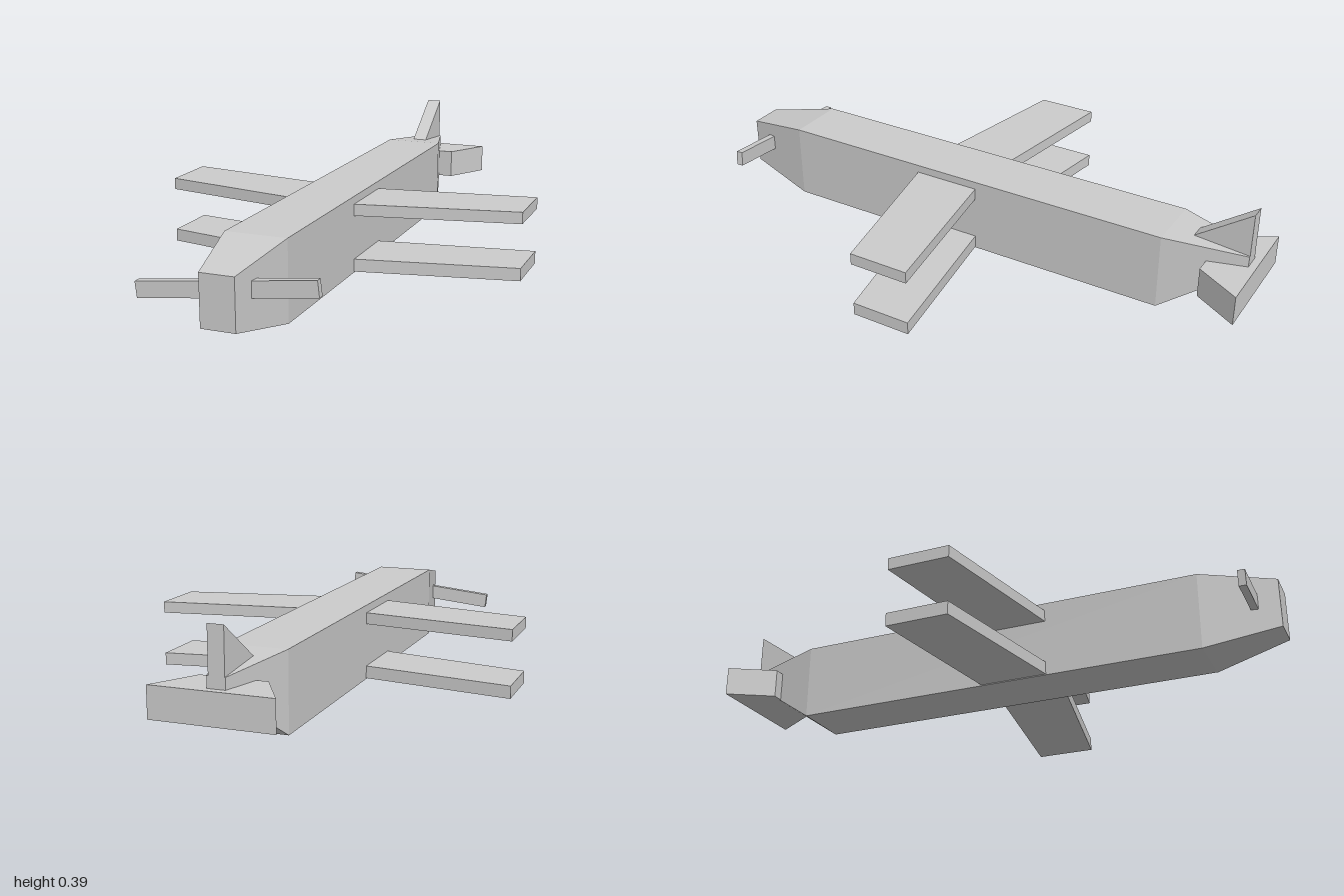
import * as THREE from 'three';

const material = new THREE.MeshStandardMaterial({ color: 0xcccccc, flatShading: true });

function part(name, geometry) {
  const mesh = new THREE.Mesh(geometry, material);
  mesh.name = name;
  return mesh;
}

// Flat slab from a list of [a, b] outline points
function slab(points, depth) {
  const shape = new THREE.Shape(points.map(([a, b]) => new THREE.Vector2(a, b)));
  return new THREE.ExtrudeGeometry(shape, { depth, bevelEnabled: false });
}

// Horizontal slab: outline in [x, z], from height y0 to y1
const planSlab = (points, y0, y1) =>
  slab(points.map(([x, z]) => [x, -z]), y1 - y0).rotateX(-Math.PI / 2).translate(0, y0, 0);

// Rectangular cross-sections [z, x0, x1, y0, y1], front to back
function loft(sections) {
  const rings = sections.map(([z, x0, x1, y0, y1]) =>
    [[x0, y0, z], [x1, y0, z], [x1, y1, z], [x0, y1, z]]);
  const pos = [];
  const quad = (a, b, c, d) => pos.push(...a, ...b, ...c, ...a, ...c, ...d);
  for (let i = 0; i < rings.length - 1; i++) {
    const f = rings[i], b = rings[i + 1];
    for (let j = 0; j < 4; j++) {
      const k = (j + 1) % 4;
      quad(f[j], b[j], b[k], f[k]);
    }
  }
  const first = rings[0], last = rings[rings.length - 1];
  quad(...first);
  quad(last[3], last[2], last[1], last[0]);
  const geometry = new THREE.BufferGeometry();
  geometry.setAttribute('position', new THREE.Float32BufferAttribute(pos, 3));
  geometry.computeVertexNormals();
  return geometry;
}

export function createModel() {
  const model = new THREE.Group();
  model.name = 'biplane';

  // Box body with tapered nose and tail
  model.add(part('fuselage', loft([
    [1.0, -0.063, 0.05, 0.05, 0.217],
    [0.75, -0.11, 0.097, 0, 0.265],
    [-0.705, -0.11, 0.097, 0, 0.265],
    [-0.975, -0.037, 0.022, 0.185, 0.24],
  ])));

  // Two pairs of swept-back wings
  for (const [level, y0, y1] of [['lower', 0.003, 0.047], ['upper', 0.198, 0.238]]) {
    for (const [side, root, tip] of [['Left', 0.097, 0.643], ['Right', -0.11, -0.643]]) {
      model.add(part(`${level}Wing${side}`, planSlab(
        [[root, 0.22], [tip, 0.115], [tip, -0.095], [root, -0.015]], y0, y1)));
    }
  }

  // Tailplane, widest at the rear
  model.add(part('tailplane', planSlab(
    [[-0.11, -0.847], [0.11, -0.847], [0.2, -1], [-0.2, -1]], 0.1, 0.203)));

  // Upright fin, outline in [z, y]
  model.add(part('tailFin',
    slab([[-0.785, 0.257], [-0.975, 0.39], [-0.975, 0.24]], 0.052)
      .rotateY(-Math.PI / 2).translate(0.017, 0, 0)));

  // Slightly turned propeller through the nose
  const propeller = part('propeller', new THREE.BoxGeometry(0.574, 0.052, 0.024));
  propeller.position.set(-0.02, 0.149, 0.917);
  propeller.rotation.set(0, 0.047, 0.11);
  model.add(propeller);

  return model;
}
